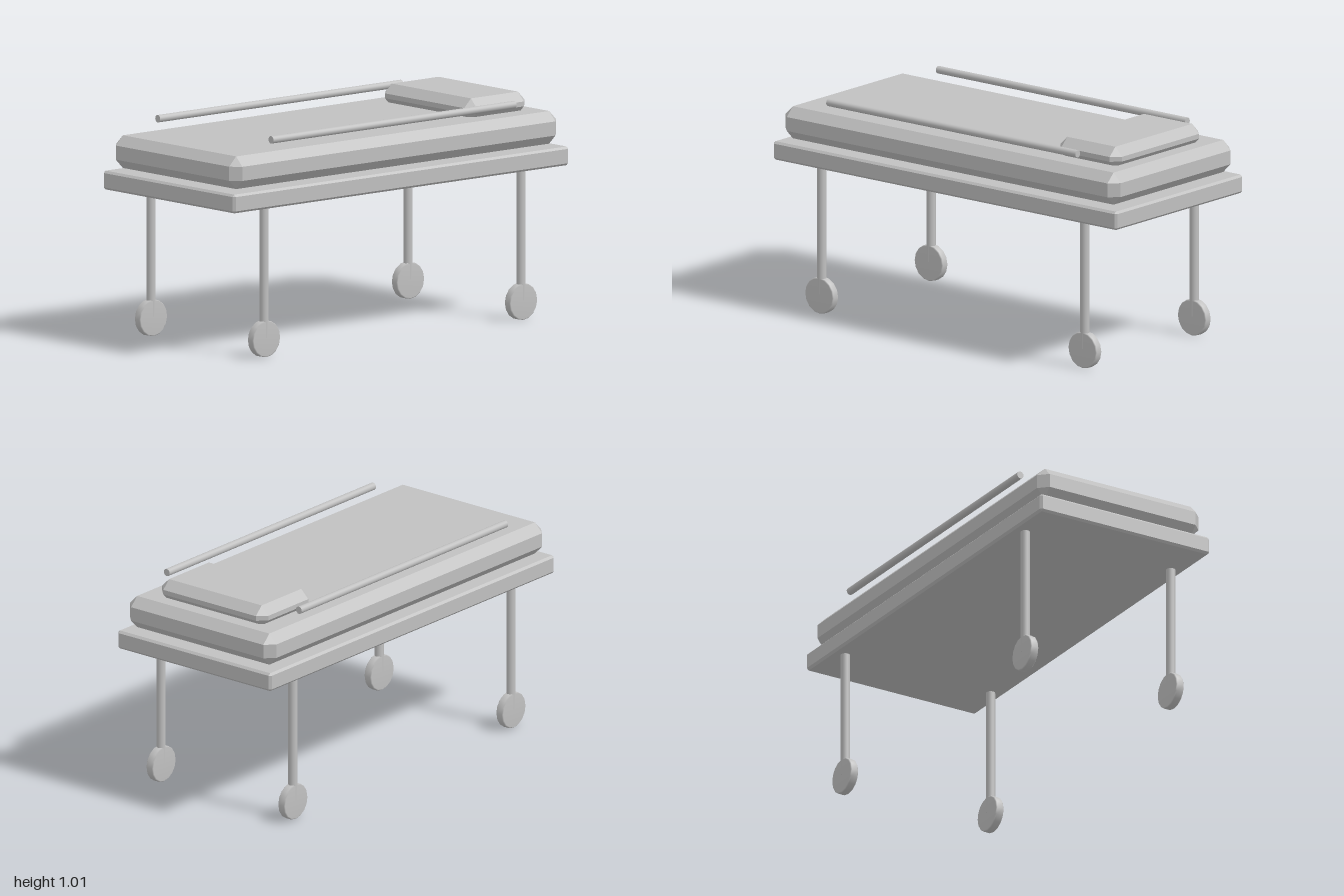
import * as THREE from 'three';
import { ConvexGeometry } from 'three/addons/geometries/ConvexGeometry.js';

// Box with single-segment chamfers on every edge
function chamferBox(w, h, d, c) {
  const pts = [];
  for (const sx of [-1, 1]) for (const sy of [-1, 1]) for (const sz of [-1, 1]) {
    const x = sx * w / 2, y = sy * h / 2, z = sz * d / 2;
    pts.push(new THREE.Vector3(x, y - sy * c, z - sz * c));
    pts.push(new THREE.Vector3(x - sx * c, y, z - sz * c));
    pts.push(new THREE.Vector3(x - sx * c, y - sy * c, z));
  }
  return new ConvexGeometry(pts);
}

export function createModel() {
  const group = new THREE.Group();
  const grey = new THREE.MeshStandardMaterial({ color: 0xc0c0c0 });
  grey.name = 'plain grey';

  const add = (name, geometry, x, y, z) => {
    const mesh = new THREE.Mesh(geometry, grey);
    mesh.name = name;
    mesh.position.set(x, y, z);
    group.add(mesh);
  };

  // Bed deck, mattress and pillow
  add('frame', chamferBox(0.89, 0.085, 2, 0.01), 0, 0.725, 0);
  add('mattress', chamferBox(0.85, 0.148, 1.95, 0.042), 0, 0.854, 0);
  add('pillow', chamferBox(0.616, 0.102, 0.36, 0.04), 0, 0.96, -0.708);

  // Side rails
  const rail = new THREE.CylinderGeometry(0.017, 0.017, 1.45, 16).rotateX(Math.PI / 2);
  for (const s of [-1, 1]) add(s > 0 ? 'leftRail' : 'rightRail', rail, s * 0.383, 0.98, 0);

  // Legs with softened disc wheels
  const leg = new THREE.CylinderGeometry(0.021, 0.021, 0.61, 16);
  const profile = [[0, -0.02], [0.078, -0.02], [0.083, -0.015], [0.083, 0.015], [0.078, 0.02], [0, 0.02]]
    .map(([r, y]) => new THREE.Vector2(r, y));
  const wheel = new THREE.LatheGeometry(profile, 16).rotateZ(Math.PI / 2);
  for (const sx of [-1, 1]) for (const sz of [-1, 1]) {
    const where = (sz > 0 ? 'Front' : 'Back') + (sx > 0 ? 'Left' : 'Right');
    add('leg' + where, leg, sx * 0.382, 0.395, sz * 0.766);
    add('wheel' + where, wheel, sx * 0.382, 0.084, sz * 0.766);
  }
  return group;
}
